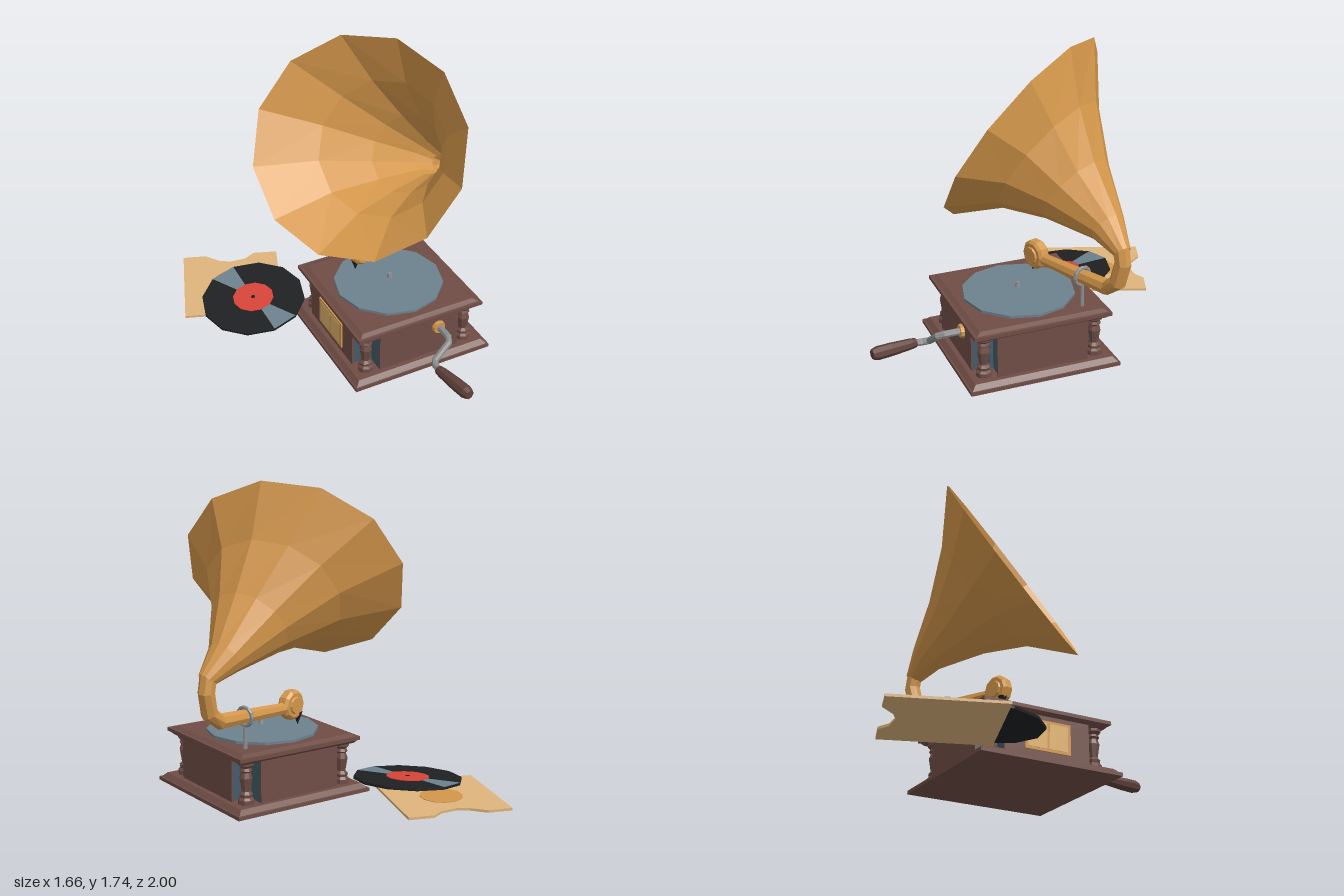
import * as THREE from 'three';

const V = (x, y, z) => new THREE.Vector3(x, y, z);
const mat = (color, side = THREE.FrontSide) => new THREE.MeshStandardMaterial({ color, flatShading: true, side });
const wood = mat(0x6f4d45), darkWood = mat(0x5f4039), slate = mat(0x445a69), platterBlue = mat(0x6d828f);
const brass = mat(0xd3964a), hornBrass = mat(0xd3964a, THREE.DoubleSide), steel = mat(0x8b8d8f);
const black = mat(0x1f2021), red = mat(0xd84438), card = mat(0xdfb47c), amber = mat(0xe0b26c);

function add(parent, name, geometry, material, x = 0, y = 0, z = 0) {
  const mesh = new THREE.Mesh(geometry, material);
  mesh.name = name;
  mesh.position.set(x, y, z);
  parent.add(mesh);
  return mesh;
}

const box = (w, h, d) => new THREE.BoxGeometry(w, h, d);
const cyl = (rTop, rBottom, h, n) => new THREE.CylinderGeometry(rTop, rBottom, h, n);
const lathe = (pts, n) => new THREE.LatheGeometry(pts.map(p => new THREE.Vector2(...p)), n);
// turn a part whose axis is +y to the given direction
const aim = (mesh, dir) => mesh.quaternion.setFromUnitVectors(V(0, 1, 0), dir.clone().normalize());

// square slab with sloping sides, half widths at bottom and top
function slab(parent, name, bottom, top, y0, y1, material) {
  const g = cyl(top * Math.SQRT2, bottom * Math.SQRT2, y1 - y0, 4).rotateY(Math.PI / 4);
  return add(parent, name, g, material, 0, (y0 + y1) / 2, 0);
}

// skin over round sections { c: centre, r: radius, n: optional direction }
function loft(sections, sides, ref) {
  const rings = sections.map(({ c, r, n }, i) => {
    const prev = sections[Math.max(i - 1, 0)].c, next = sections[Math.min(i + 1, sections.length - 1)].c;
    const dir = (n || next.clone().sub(prev)).clone().normalize();
    const u = ref.clone().addScaledVector(dir, -ref.dot(dir)).normalize();
    const v = dir.clone().cross(u);
    return Array.from({ length: sides }, (_, j) => {
      const a = j / sides * Math.PI * 2;
      return c.clone().addScaledVector(u, r * Math.cos(a)).addScaledVector(v, r * Math.sin(a));
    });
  });
  const pos = [];
  for (let i = 0; i < rings.length - 1; i++) {
    for (let j = 0; j < sides; j++) {
      const k = (j + 1) % sides;
      const a = rings[i][j], b = rings[i][k], c = rings[i + 1][k], d = rings[i + 1][j];
      for (const p of [a, b, c, a, c, d]) pos.push(p.x, p.y, p.z);
    }
  }
  const g = new THREE.BufferGeometry();
  g.setAttribute('position', new THREE.Float32BufferAttribute(pos, 3));
  g.computeVertexNormals();
  return g;
}

function makeCabinet() {
  const g = new THREE.Group();
  g.name = 'cabinet';
  g.position.set(0.21, 0, 0.145);
  // stepped base and lid mouldings
  slab(g, 'basePlate', 0.43, 0.43, 0.005, 0.025, wood);
  slab(g, 'baseMoulding', 0.42, 0.395, 0.025, 0.05, wood);
  slab(g, 'lidMoulding', 0.365, 0.385, 0.28, 0.3, wood);
  slab(g, 'lidPlate', 0.392, 0.392, 0.3, 0.32, wood);
  slab(g, 'lidTop', 0.375, 0.35, 0.32, 0.333, wood);
  // core with recessed corners, faced with four panels
  add(g, 'coreAcross', box(0.72, 0.24, 0.5), slate, 0, 0.165, 0);
  add(g, 'coreDeep', box(0.5, 0.24, 0.72), slate, 0, 0.165, 0);
  add(g, 'coreCorners', box(0.54, 0.24, 0.54), slate, 0, 0.165, 0);
  for (const s of [-1, 1]) {
    add(g, 'sidePanel', box(0.01, 0.24, 0.52), wood, s * 0.363, 0.165, 0);
    add(g, 'endPanel', box(0.5, 0.24, 0.01), wood, 0, 0.165, s * 0.363);
  }
  // turned corner columns
  const profile = [[0, 0.045], [0.045, 0.045], [0.045, 0.075], [0.034, 0.088], [0.038, 0.105], [0.024, 0.12],
    [0.036, 0.195], [0.026, 0.225], [0.036, 0.235], [0.028, 0.25], [0.044, 0.265], [0.044, 0.285], [0, 0.285]];
  for (const x of [-0.315, 0.315]) for (const z of [-0.32, 0.32])
    add(g, 'cornerColumn', lathe(profile, 8), wood, x, 0, z);
  // framed window on the side
  add(g, 'windowFrame', box(0.012, 0.17, 0.28), brass, -0.37, 0.17, 0);
  for (const z of [-0.064, 0.064]) add(g, 'windowPane', box(0.006, 0.14, 0.115), amber, -0.375, 0.17, z);
  // turntable
  add(g, 'turntable', cyl(0.315, 0.315, 0.016, 12), platterBlue, 0, 0.34, 0);
  add(g, 'spindle', cyl(0.01, 0.016, 0.028, 8), steel, 0.005, 0.382, 0.005);
  return g;
}

function makeHorn() {
  const g = new THREE.Group();
  g.name = 'hornAssembly';
  // curved flaring bell
  const bell = [
    { c: V(0.78, 0.765, -0.205), r: 0.046, n: V(-0.75, 0.62, 0.1) },
    { c: V(0.65, 0.86, -0.18), r: 0.1, n: V(-0.8, 0.53, 0.25) },
    { c: V(0.44, 1.0, -0.09), r: 0.225, n: V(-0.75, 0.55, 0.36) },
    { c: V(0.24, 1.13, -0.02), r: 0.385, n: V(-0.68, 0.54, 0.48) },
    { c: V(0.05, 1.23, 0.055), r: 0.62, n: V(-0.655, 0.532, 0.539) },
  ];
  add(g, 'horn', loft(bell, 12, V(0.3075, 0.5175, -0.14)), hornBrass);
  // tone arm with elbow
  const arm = [
    { c: V(0.14, 0.483, -0.01), r: 0.032 }, { c: V(0.68, 0.525, -0.172), r: 0.044 },
    { c: V(0.755, 0.585, -0.195), r: 0.046 }, { c: V(0.78, 0.7, -0.21), r: 0.046 },
    { c: V(0.765, 0.775, -0.205), r: 0.047 }, { c: V(0.72, 0.81, -0.195), r: 0.045 },
  ];
  add(g, 'toneArm', loft(arm, 8, V(0, 0, 1)), hornBrass);
  // sound box and needle
  const disc = [[0, -0.045], [0.045, -0.045], [0.05, -0.035], [0.07, -0.035], [0.085, -0.02],
    [0.085, 0.02], [0.07, 0.035], [0.05, 0.035], [0.045, 0.045], [0, 0.045]];
  aim(add(g, 'soundBox', lathe(disc, 10), brass, 0.115, 0.495, 0), V(0.29, 0, 0.957));
  add(g, 'needle', new THREE.ConeGeometry(0.028, 0.075, 6).rotateX(Math.PI), black, 0.07, 0.41, 0);
  // arm support
  add(g, 'supportPost', cyl(0.011, 0.013, 0.13, 8), steel, 0.49, 0.39, -0.115);
  const ring = add(g, 'supportRing', new THREE.TorusGeometry(0.05, 0.011, 6, 12), steel, 0.49, 0.51, -0.115);
  ring.rotation.y = Math.PI / 2 + 0.29;
  return g;
}

function makeCrank() {
  const g = new THREE.Group();
  g.name = 'crank';
  add(g, 'crankCollar', cyl(0.036, 0.042, 0.025, 10).rotateX(Math.PI / 2), brass, 0.33, 0.225, 0.52);
  const rod = [V(0.333, 0.225, 0.51), V(0.333, 0.225, 0.62), V(0.32, 0.215, 0.65), V(0.225, 0.14, 0.67),
    V(0.207, 0.13, 0.7), V(0.207, 0.132, 0.76)];
  add(g, 'crankRod', loft(rod.map(c => ({ c, r: 0.02 })), 8, V(0, 1, 0.2)), steel);
  const grip = [[0, 0], [0.025, 0], [0.03, 0.03], [0.037, 0.15], [0.038, 0.23], [0.028, 0.26], [0, 0.26]];
  aim(add(g, 'crankHandle', lathe(grip, 8), darkWood, 0.203, 0.132, 0.74), V(0.042, 0.003, 0.25));
  return g;
}

function makeRecord() {
  const g = new THREE.Group();
  g.name = 'record';
  g.position.set(-0.42, 0.07, -0.378);
  g.rotation.set(0.065, 0, 0.08);
  add(g, 'disc', cyl(0.308, 0.308, 0.014, 12), black);
  // glossy wedges on opposite sides
  for (const a of [0, Math.PI])
    add(g, 'sheen', new THREE.CylinderGeometry(0.307, 0.307, 0.008, 1, 1, false, a, Math.PI / 6), platterBlue, 0, 0.005, 0);
  add(g, 'label', cyl(0.122, 0.122, 0.008, 12), red, 0, 0.007, 0);
  add(g, 'centreHole', cyl(0.013, 0.013, 0.008, 8), black, 0, 0.009, 0);
  return g;
}

function makeSleeve() {
  const g = new THREE.Group();
  g.name = 'recordSleeve';
  // square card with a thumb cut-out at the back edge
  const outline = [[-0.83, -0.45], [-0.63, -1], [-0.5, -0.955], [-0.44, -0.87], [-0.38, -0.83], [-0.285, -0.82],
    [-0.215, -0.85], [-0.08, -0.8], [-0.28, -0.25]];
  const shape = new THREE.Shape(outline.map(([x, z]) => new THREE.Vector2(x, -z)));
  const geo = new THREE.ExtrudeGeometry(shape, { depth: 0.014, bevelEnabled: false }).rotateX(-Math.PI / 2);
  add(g, 'card', geo, card, 0, 0.014, 0);
  add(g, 'cardCircle', cyl(0.12, 0.12, 0.004, 12), brass, -0.45, 0.029, -0.63);
  return g;
}

export function createModel() {
  const model = new THREE.Group();
  model.name = 'gramophone';
  model.add(makeCabinet(), makeHorn(), makeCrank(), makeRecord(), makeSleeve());
  return model;
}
